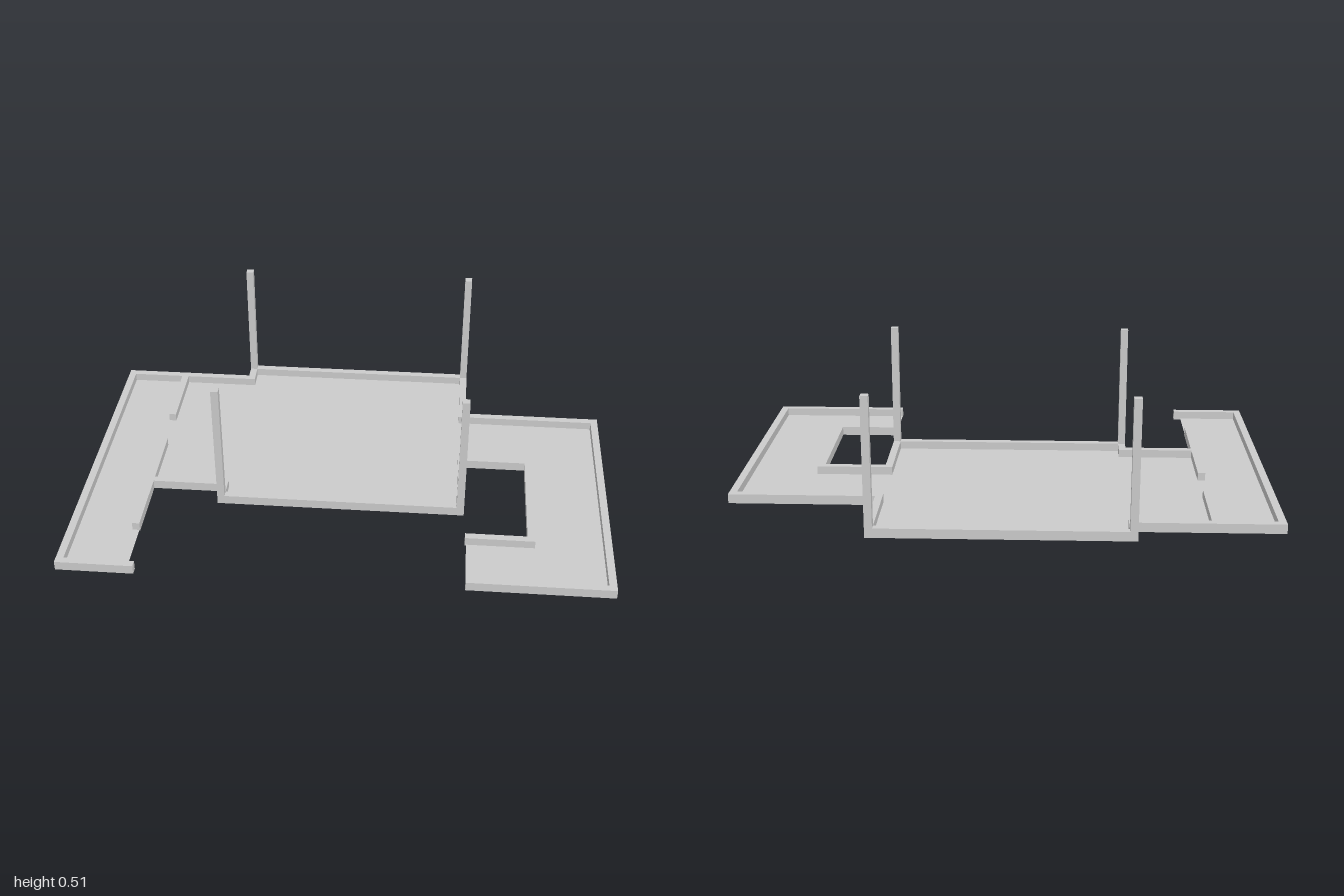
import * as THREE from 'three';

const WALL = 0.028, WALL_HEIGHT = 0.035, POST_HEIGHT = 0.51, FLOOR_Y = 0.004;

// Plan points are [x, z]; shapes are drawn in (x, -z) and laid flat.
const planShape = (pts) => new THREE.Shape(pts.map(([x, z]) => new THREE.Vector2(x, -z)));

// Outline of a strip around a right-angled centreline, with mitred corners.
function stripOutline(path) {
  const left = [], right = [], h = WALL / 2;
  const dir = (a, b) => [Math.sign(b[0] - a[0]), Math.sign(b[1] - a[1])];
  path.forEach((p, i) => {
    const normals = [];
    if (i > 0) normals.push(dir(path[i - 1], p));
    if (i < path.length - 1) normals.push(dir(p, path[i + 1]));
    let nx = 0, nz = 0;
    for (const [dx, dz] of normals) { nx -= dz * h; nz += dx * h; }
    left.push([p[0] + nx, p[1] + nz]);
    right.unshift([p[0] - nx, p[1] - nz]);
  });
  return [...left, ...right];
}

export function createModel() {
  const group = new THREE.Group();
  const material = new THREE.MeshStandardMaterial({ color: 0xcccccc, side: THREE.DoubleSide });
  const add = (name, geometry) => {
    const mesh = new THREE.Mesh(geometry, material);
    mesh.name = name;
    group.add(mesh);
    return mesh;
  };

  // Low walls, each a continuous run
  const walls = {
    outerWall: [[-0.715, 0.666], [-0.986, 0.666], [-0.986, -0.588], [-0.466, -0.588], [-0.466, -0.671],
      [0.446, -0.671], [0.446, -0.371], [0.986, -0.371], [0.986, 0.656], [0.47, 0.656]],
    frontWall: [[0.465, 0.411], [0.708, 0.411], [0.708, -0.068], [0.446, -0.068], [0.446, 0.236],
      [-0.466, 0.236], [-0.466, 0.163], [-0.741, 0.163]],
    partitionFront: [[-0.755, -0.105], [-0.755, 0.44]],
    partitionBack: [[-0.755, -0.574], [-0.755, -0.28]],
  };
  for (const [name, path] of Object.entries(walls)) {
    const geometry = new THREE.ExtrudeGeometry(planShape(stripOutline(path)),
      { depth: WALL_HEIGHT, bevelEnabled: false });
    add(name, geometry.rotateX(-Math.PI / 2));
  }

  // Thin floor, reaching under the walls
  const floor = new THREE.ShapeGeometry(planShape([
    [-0.986, 0.666], [-0.743, 0.666], [-0.743, 0.163], [-0.466, 0.163], [-0.466, 0.236], [0.446, 0.236],
    [0.446, -0.068], [0.708, -0.068], [0.708, 0.411], [0.47, 0.411], [0.47, 0.656], [0.986, 0.656],
    [0.986, -0.371], [0.446, -0.371], [0.446, -0.671], [-0.466, -0.671], [-0.466, -0.588], [-0.986, -0.588],
  ]));
  add('floor', floor.rotateX(-Math.PI / 2)).position.y = FLOOR_Y;

  // Four tall corner posts standing on the walls of the main room
  const height = POST_HEIGHT - WALL_HEIGHT;
  for (const [side, x] of [['Right', -0.466], ['Left', 0.446]]) {
    for (const [end, z] of [['front', 0.236], ['back', -0.671]]) {
      add(`${end}${side}Post`, new THREE.BoxGeometry(WALL, height, WALL))
        .position.set(x, WALL_HEIGHT + height / 2, z);
    }
  }
  return group;
}
